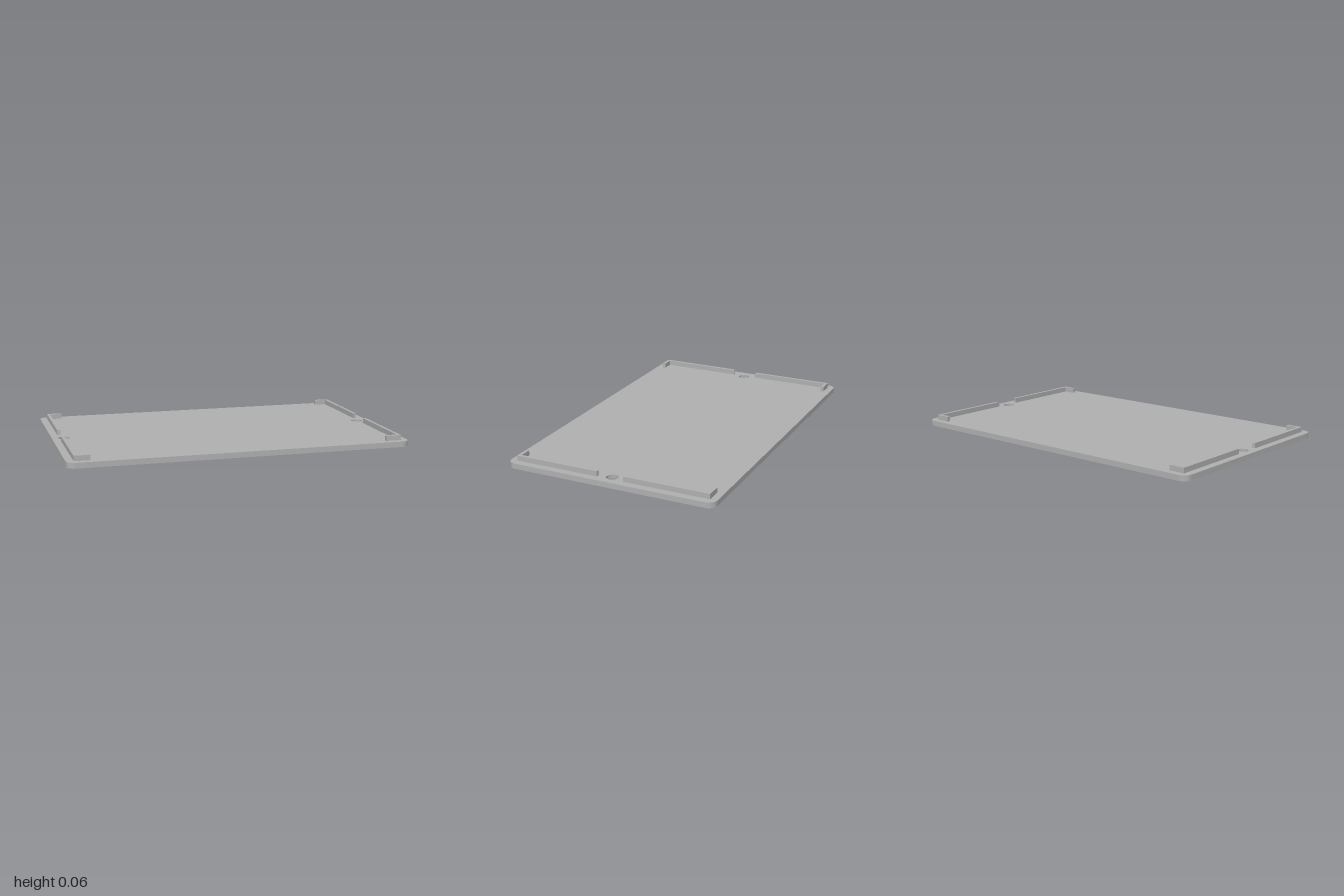
import * as THREE from 'three';
import { toCreasedNormals } from 'three/addons/utils/BufferGeometryUtils.js';

const PLATE_H = 0.032, RAIL_TOP = 0.062, SINK_DEPTH = 0.018;
const HOLE_X = 0.928, HOLE_R = 0.034, SINK_R = 0.056;

// Extrude a plan-view shape (x, z) upwards from y0 to y1
function slab(shape, y0, y1) {
  const geo = new THREE.ExtrudeGeometry(shape, { depth: y1 - y0, bevelEnabled: false, curveSegments: 16 });
  geo.rotateX(-Math.PI / 2).translate(0, y0, 0);
  return toCreasedNormals(geo, 0.6);
}

function circle(Type, x, r) {
  return new Type().absarc(x, 0, r, 0, Math.PI * 2, false);
}

function roundedRect(w, d, r) {
  const s = new THREE.Shape();
  s.absarc(w - r, d - r, r, 0, Math.PI / 2, false);
  s.absarc(r - w, d - r, r, Math.PI / 2, Math.PI, false);
  s.absarc(r - w, r - d, r, Math.PI, Math.PI * 1.5, false);
  s.absarc(w - r, r - d, r, Math.PI * 1.5, Math.PI * 2, false);
  s.closePath();
  return s;
}

export function createModel() {
  const group = new THREE.Group();
  group.name = 'lid';
  const grey = new THREE.MeshStandardMaterial({ color: 0xb0b0b0 });
  grey.name = 'grey';

  const add = (name, geo) => {
    const mesh = new THREE.Mesh(geo, grey);
    mesh.name = name;
    group.add(mesh);
  };

  // Rounded base plate with two wide bores
  const plate = roundedRect(1, 0.63, 0.05);
  for (const s of [-1, 1]) plate.holes.push(circle(THREE.Path, s * HOLE_X, SINK_R));
  add('plate', slab(plate, 0, PLATE_H));

  for (const sx of [-1, 1]) {
    const side = sx > 0 ? 'left' : 'right';

    // Collar narrowing each bore at the top, leaving a screw recess below
    const collar = circle(THREE.Shape, sx * HOLE_X, SINK_R);
    collar.holes.push(circle(THREE.Path, sx * HOLE_X, HOLE_R));
    add(side + 'ScrewCollar', slab(collar, SINK_DEPTH, PLATE_H));

    // L-shaped locating rails with slightly slanted ends beside the hole
    for (const sz of [-1, 1]) {
      const outline = [
        [0.957, 0.082], [0.957, 0.59], [0.865, 0.59],
        [0.865, 0.57], [0.938, 0.57], [0.938, 0.077],
      ].map(([x, z]) => new THREE.Vector2(sx * x, -sz * z));
      add(side + (sz > 0 ? 'Front' : 'Back') + 'Rail', slab(new THREE.Shape(outline), PLATE_H, RAIL_TOP));
    }
  }
  return group;
}
